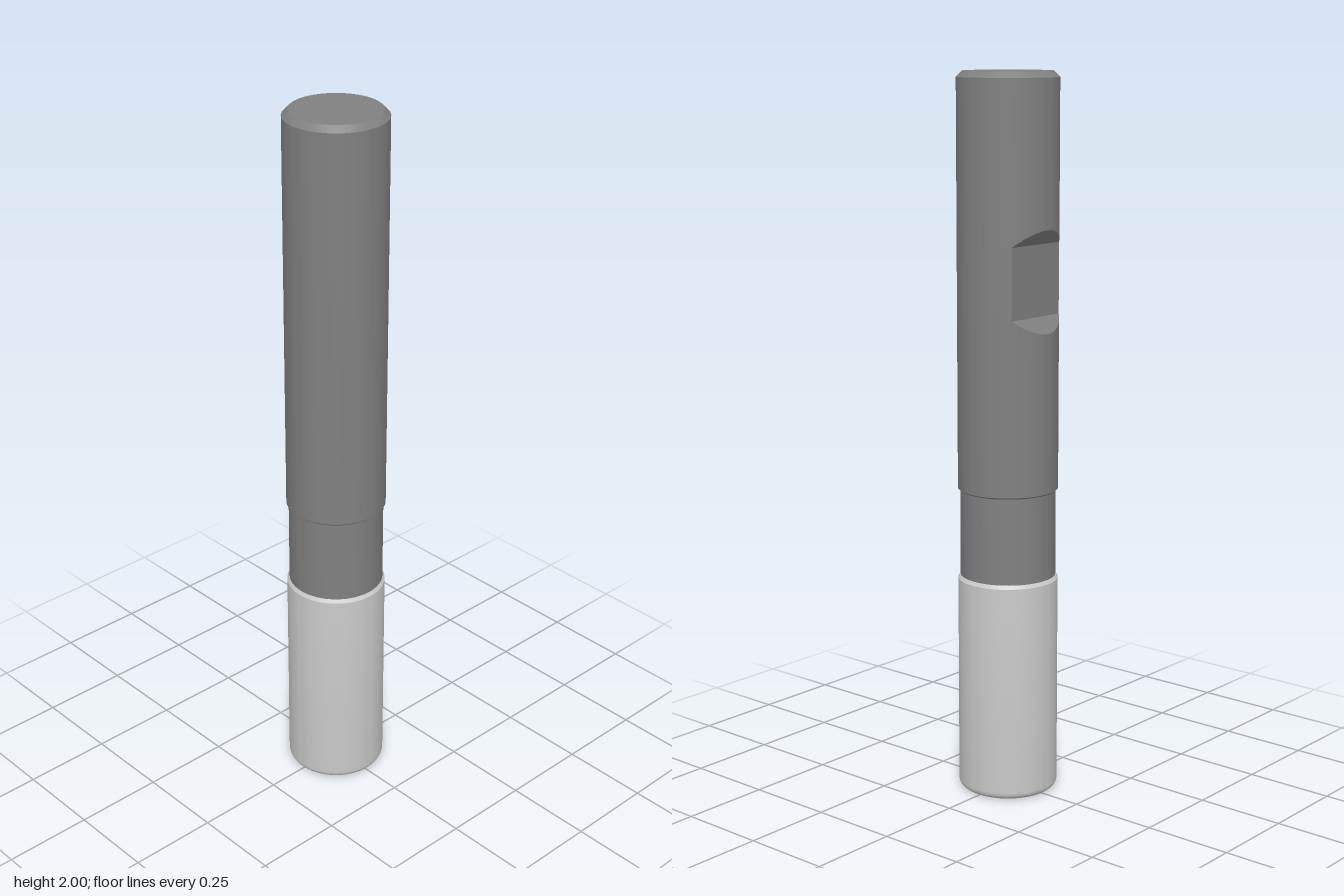
import * as THREE from 'three';
import { toCreasedNormals } from 'three/addons/utils/BufferGeometryUtils.js';

const R = 0.1385, NECK_R = 0.132;
const FLAT = 0.097, FLAT_BOTTOM = 1.35, FLAT_TOP = 1.545; // clamping flat on the back

const dark = new THREE.MeshStandardMaterial({ color: 0x808080 });
const light = new THREE.MeshStandardMaterial({ color: 0xcccccc });

function mesh(name, geometry, material) {
  const m = new THREE.Mesh(toCreasedNormals(geometry, 0.35), material);
  m.name = name;
  return m;
}

const turned = (points) =>
  new THREE.LatheGeometry(points.map(([r, y]) => new THREE.Vector2(r, y)), 96);

// Shank: columns of points around the axis; those over the flat are cut back to it,
// with 45 degree ramps at both ends
function shankGeometry() {
  const half = Math.acos(FLAT / R);
  const angles = [];
  for (let i = 0; i < 24; i++) angles.push(-half + (2 * half * i) / 24);
  for (let i = 0; i < 72; i++) angles.push(half + ((2 * Math.PI - 2 * half) * i) / 72);

  const columns = angles.map((a) => {
    const at = (r, y) => new THREE.Vector3(r * Math.sin(a), y, -r * Math.cos(a));
    const depth = Math.max(0, R * Math.cos(a) - FLAT);
    const cut = (y) => {
      const p = at(R, y);
      p.z = Math.max(p.z, -FLAT);
      return p;
    };
    return [
      at(0, 0.864), at(R - 0.004, 0.864), at(R, 0.868),
      at(R, FLAT_BOTTOM - depth), cut(FLAT_BOTTOM), cut(FLAT_TOP), at(R, FLAT_TOP + depth),
      at(R, 1.984), at(0.1225, 2), at(0, 2),
    ];
  });

  const positions = [];
  const triangle = (a, b, c) => {
    if (new THREE.Triangle(a, b, c).getArea() < 1e-9) return;
    for (const p of [a, b, c]) positions.push(p.x, p.y, p.z);
  };
  columns.forEach((col, i) => {
    const next = columns[(i + 1) % columns.length];
    for (let j = 0; j < col.length - 1; j++) {
      triangle(col[j], col[j + 1], next[j + 1]);
      triangle(col[j], next[j + 1], next[j]);
    }
  });
  const g = new THREE.BufferGeometry();
  g.setAttribute('position', new THREE.Float32BufferAttribute(positions, 3));
  return g;
}

export function createModel() {
  const group = new THREE.Group();
  group.name = 'roundToolBlank';

  group.add(mesh('shank', shankGeometry(), dark));

  // Slightly narrower neck
  group.add(mesh('neck', turned([[NECK_R, 0.618], [NECK_R, 0.866]]), dark));

  // Cutting end with a rounded lower corner and a small upper chamfer
  const corner = 0.021;
  const profile = [[0, 0]];
  for (let i = 0; i <= 8; i++) {
    const a = (i / 8) * (Math.PI / 2);
    profile.push([R - corner + corner * Math.sin(a), corner - corner * Math.cos(a)]);
  }
  profile.push([R, 0.612], [NECK_R, 0.622], [0, 0.622]);
  group.add(mesh('cuttingEnd', turned(profile), light));

  return group;
}
